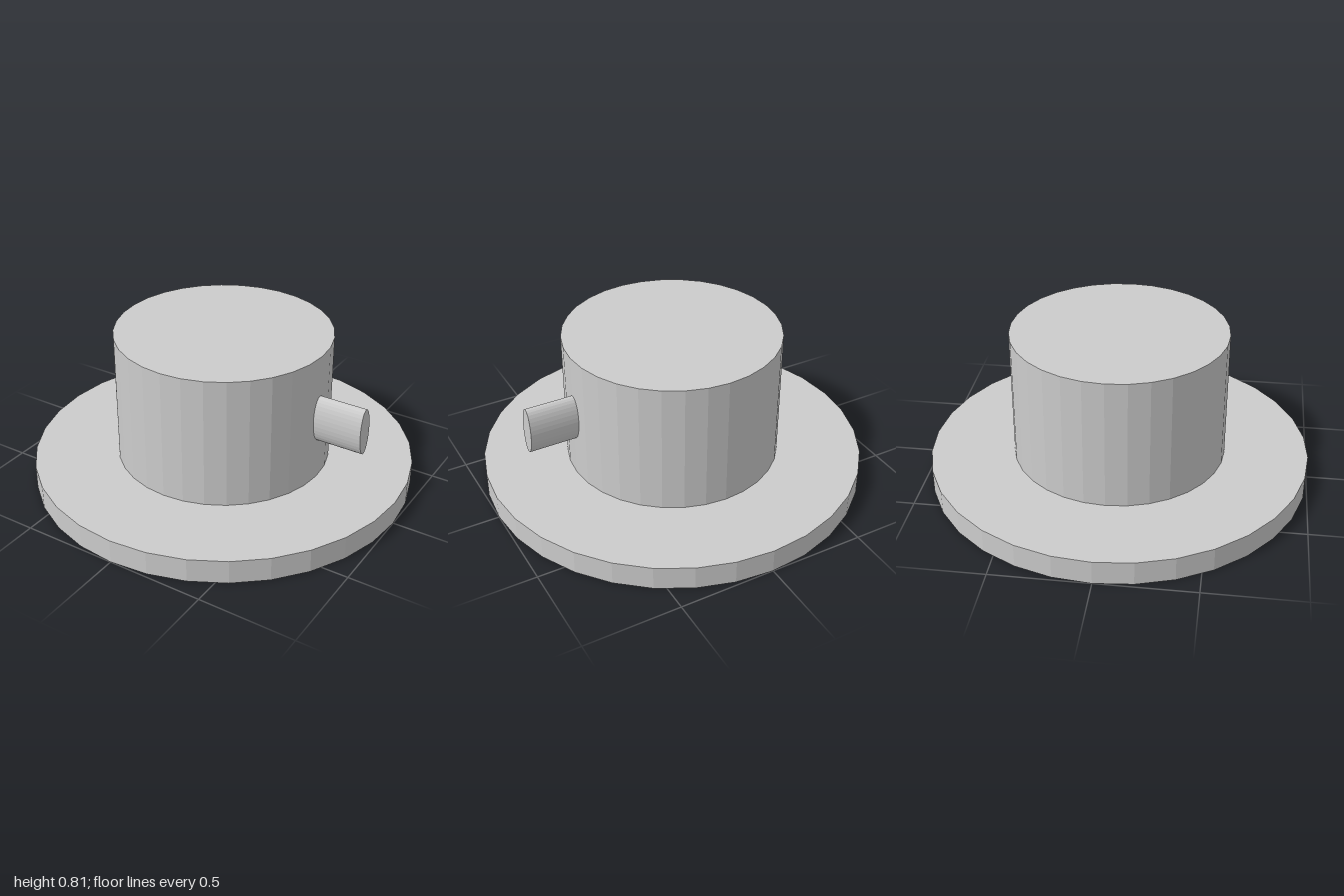
import * as THREE from 'three';

export function createModel() {
  const model = new THREE.Group();
  const grey = new THREE.MeshStandardMaterial({ color: 0xcccccc });
  grey.name = 'light grey';

  // Faceted upright disc standing between two heights
  function disc(name, radius, bottom, top) {
    const geometry = new THREE.CylinderGeometry(radius, radius, top - bottom, 32).toNonIndexed();
    geometry.computeVertexNormals();
    const mesh = new THREE.Mesh(geometry, grey);
    mesh.name = name;
    mesh.position.y = (bottom + top) / 2;
    model.add(mesh);
    return mesh;
  }

  disc('baseFlange', 1, 0, 0.125);
  disc('body', 0.56, 0.125, 0.813);

  // Oval peg reaching out of the body's left side
  const peg = disc('sidePeg', 1, 0, 0.31);
  peg.geometry.scale(0.125, 1, 0.05);
  peg.geometry.rotateZ(-Math.PI / 2);
  peg.geometry.computeVertexNormals();
  peg.position.set(0.655, 0.47, 0);

  return model;
}
